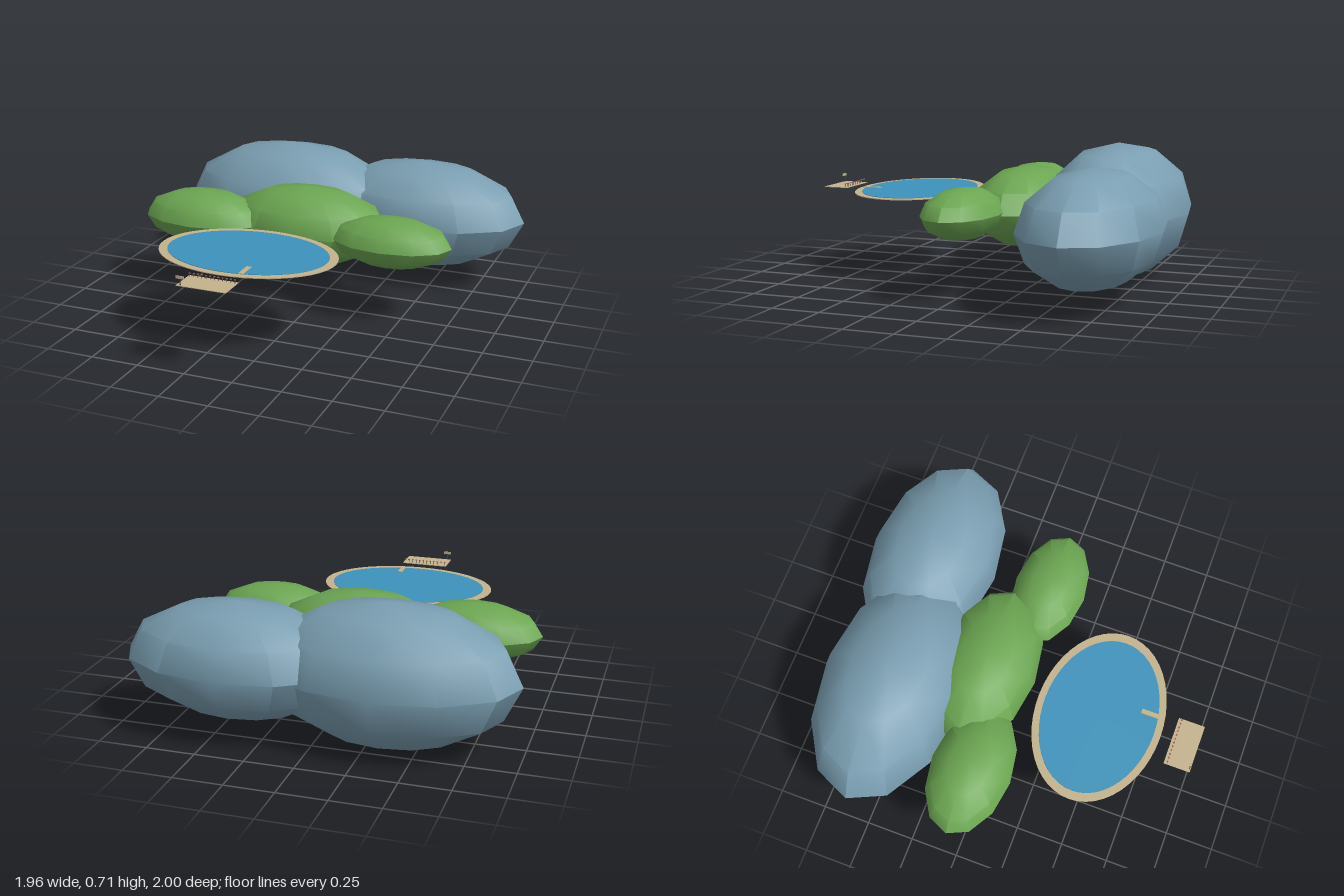
import * as THREE from 'three';
import { toCreasedNormals } from 'three/addons/utils/BufferGeometryUtils.js';

const mat = (name, color) => {
  const m = new THREE.MeshStandardMaterial({ color });
  m.name = name;
  return m;
};

export function createModel() {
  const group = new THREE.Group();
  const slate = mat('slate blue', 0x7a9eb1);
  const green = mat('hill green', 0x6ca652);
  const water = mat('water blue', 0x3d92bb);
  const sand = mat('sand', 0xc3b28b);
  const red = mat('lounger red', 0xa85a68);
  const dark = mat('dark wood', 0x4a4038);

  const add = (name, geometry, material, x, y, z) => {
    const mesh = new THREE.Mesh(geometry, material);
    mesh.name = name;
    mesh.position.set(x, y, z);
    group.add(mesh);
    return mesh;
  };
  const box = (name, material, size, pos) =>
    add(name, new THREE.BoxGeometry(...size), material, ...pos);

  // Mountains and hills: stretched coarse spheres
  const hill = (name, material, centre, radii) => {
    const g = new THREE.SphereGeometry(1, 12, 6).scale(...radii);
    add(name, toCreasedNormals(g, 0.7), material, ...centre);
  };
  hill('mountainRight', slate, [-0.34, 0.357, -0.588], [0.645, 0.357, 0.383]);
  hill('mountainLeft', slate, [0.4, 0.375, -0.655], [0.58, 0.29, 0.345]);
  hill('hillRight', green, [-0.635, 0.412, -0.04], [0.35, 0.145, 0.21]);
  hill('hillMiddle', green, [-0.085, 0.397, -0.165], [0.45, 0.208, 0.265]);
  hill('hillLeft', green, [0.435, 0.416, -0.005], [0.32, 0.128, 0.19]);

  // Oval pond: sandy shore with a water plate on top
  const oval = (rx, h, rz) => new THREE.CylinderGeometry(1, 1, h, 48).scale(rx, 1, rz);
  add('pondShore', oval(0.465, 0.004, 0.328), sand, -0.15, 0.443, 0.475);
  add('pondWater', oval(0.42, 0.003, 0.292), water, -0.15, 0.4458, 0.475);

  // Jetty over the water
  box('jetty', sand, [0.025, 0.004, 0.1], [-0.053, 0.451, 0.72]);

  // Terrace with a row of tiny loungers along its back edge
  box('terrace', sand, [0.255, 0.003, 0.138], [-0.148, 0.4445, 0.929]);
  for (let i = 0; i < 12; i++) {
    const x = -0.265 + i * 0.0213;
    box('lounger', red, [0.008, 0.004, 0.008], [x, 0.463, 0.876]);
    box('loungerLeg', dark, [0.002, 0.016, 0.002], [x, 0.454, 0.876]);
  }

  // Sign on a post at the front corner
  box('signPost', dark, [0.004, 0.036, 0.004], [-0.255, 0.463, 0.991]);
  box('signBoard', sand, [0.042, 0.014, 0.004], [-0.255, 0.486, 0.994]);

  return group;
}
